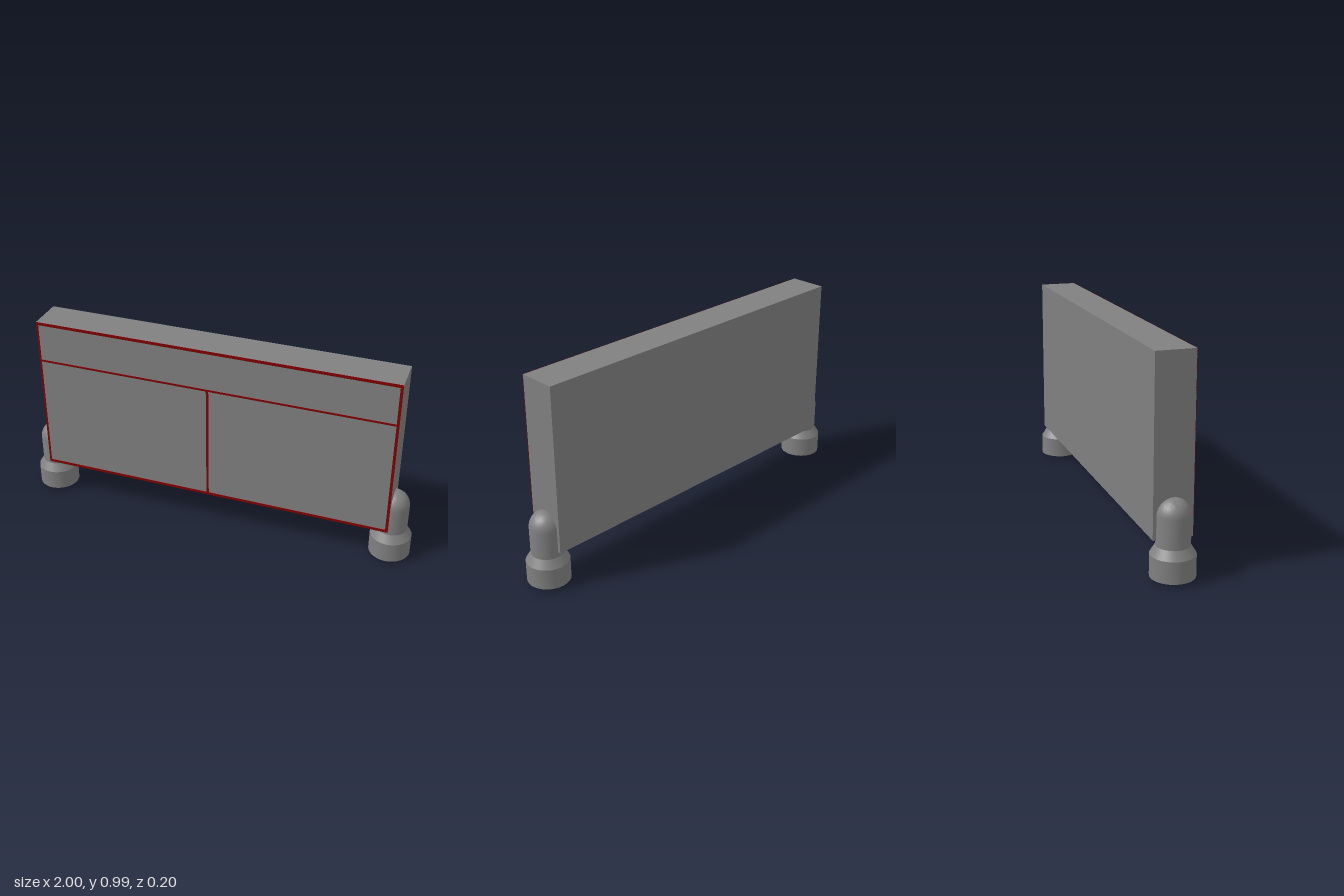
import * as THREE from 'three';
import { toCreasedNormals } from 'three/addons/utils/BufferGeometryUtils.js';

const W = 1.794, BOTTOM = 0.18, TOP = 0.993, DEPTH = 0.182;

export function createModel() {
  const group = new THREE.Group();
  const grey = new THREE.MeshStandardMaterial({ color: 0x808080 });
  const greyOpen = new THREE.MeshStandardMaterial({ color: 0x808080, side: THREE.DoubleSide });
  const red = new THREE.MeshStandardMaterial({ color: 0x800000 });

  const add = (name, geometry, material, x, y, z) => {
    const mesh = new THREE.Mesh(geometry, material);
    mesh.name = name;
    mesh.position.set(x, y, z);
    group.add(mesh);
  };

  // Upright panel
  add('panel', new THREE.BoxGeometry(W, TOP - BOTTOM, DEPTH), grey, 0, (TOP + BOTTOM) / 2, 0);

  // Red trim lines on the front face: name, x0, x1, y0, y1
  const h = W / 2;
  const trims = [
    ['topTrim', -h, h, TOP - 0.015, TOP],
    ['bottomTrim', -h, h, BOTTOM, BOTTOM + 0.014],
    ['rightTrim', -h, -h + 0.01, BOTTOM + 0.014, TOP - 0.015],
    ['leftTrim', h - 0.013, h, BOTTOM + 0.014, TOP - 0.015],
    ['railTrim', -h + 0.01, h - 0.013, 0.778, 0.788],
    ['dividerTrim', -0.023, -0.011, BOTTOM + 0.014, 0.778],
  ];
  for (const [name, x0, x1, y0, y1] of trims) {
    add(name, new THREE.BoxGeometry(x1 - x0, y1 - y0, 0.003), red,
      (x0 + x1) / 2, (y0 + y1) / 2, DEPTH / 2);
  }

  // Hollow domed feet, open at the bottom
  const profile = [[0.063, 0], [0.101, 0.014], [0.101, 0.115], [0.076, 0.155]]
    .map(([r, y]) => new THREE.Vector2(r, y));
  const steps = 10;
  for (let i = 0; i <= steps; i++) {
    const a = (i / steps) * Math.PI / 2;
    profile.push(new THREE.Vector2(i === steps ? 0 : 0.076 * Math.cos(a), 0.288 + 0.076 * Math.sin(a)));
  }
  const foot = toCreasedNormals(new THREE.LatheGeometry(profile, 32), 0.4);
  for (const side of [-1, 1]) {
    add(side > 0 ? 'leftFoot' : 'rightFoot', foot, greyOpen, side * 0.899, 0, 0);
  }

  return group;
}
